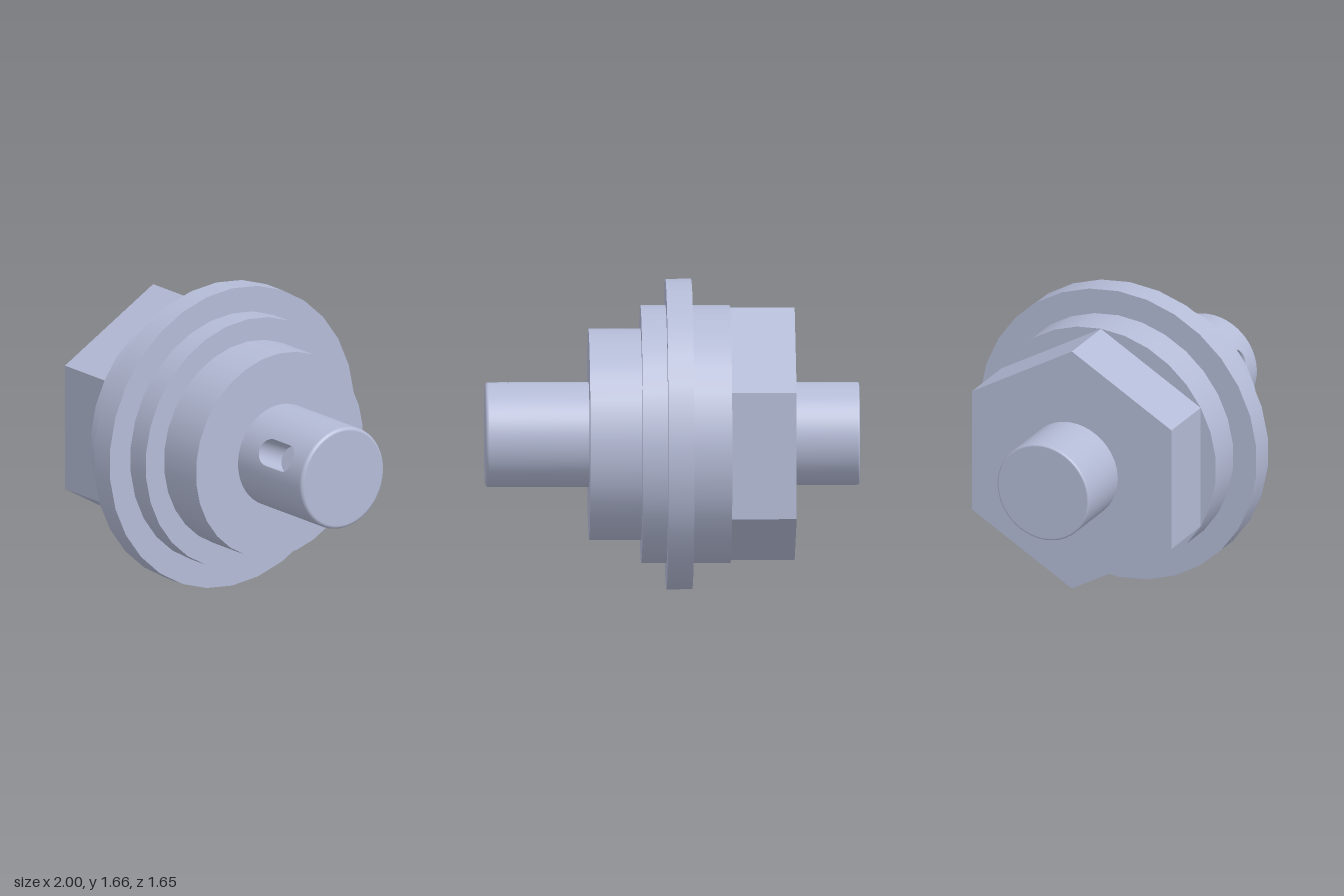
import * as THREE from 'three';

const AXIS_Y = 0.83;
const steel = new THREE.MeshStandardMaterial({ color: 0xb4bbd6 });
steel.name = 'blue grey steel';

function mesh(name, geometry) {
  const m = new THREE.Mesh(geometry, steel);
  m.name = name;
  return m;
}

// Surface over a grid of points; u cross v points outward
function gridSurface(nu, nv, point) {
  const pos = [], idx = [];
  for (let i = 0; i <= nu; i++) for (let j = 0; j <= nv; j++) pos.push(...point(i, j));
  for (let i = 0; i < nu; i++) for (let j = 0; j < nv; j++) {
    const a = i * (nv + 1) + j, b = a + nv + 1;
    idx.push(a, b, a + 1, b, b + 1, a + 1);
  }
  const g = new THREE.BufferGeometry();
  g.setAttribute('position', new THREE.Float32BufferAttribute(pos, 3));
  g.setIndex(idx);
  g.computeVertexNormals();
  return g;
}

// Prism or disc lying along x, with a corner straight up
function disc(name, x0, x1, radius, sides, flat = false) {
  let g = new THREE.CylinderGeometry(radius, radius, x1 - x0, sides, 1, false, Math.PI / 2);
  g.rotateZ(-Math.PI / 2).translate((x0 + x1) / 2, 0, 0);
  if (flat) {
    g = g.toNonIndexed();
    g.computeVertexNormals();
  }
  return mesh(name, g);
}

// Shaft along +x with a rounded end and an optional keyway facing local +z
function shaft(name, x0, x1, R, fillet, slot) {
  const group = new THREE.Group();
  group.name = name;
  const N = 48;
  // Each station: x, radius, half angle of the keyway opening, normal tilt
  const stations = [[x0, R, 0, 0]];
  if (slot) {
    const { cx, half, hw } = slot;
    for (const side of [-1, 1]) for (let k = 0; k <= 10; k++) {
      const a = (side < 0 ? 10 - k : k) / 10 * Math.PI / 2;
      const v = Math.max(0, hw * Math.cos(a));
      stations.push([cx + side * (half + hw * Math.sin(a)), R, Math.asin(v / R), 0]);
    }
  }
  for (let k = 0; k <= 5; k++) {
    const a = k / 5 * Math.PI / 2;
    stations.push([x1 - fillet + fillet * Math.sin(a), R - fillet + fillet * Math.cos(a), 0, a]);
  }
  const normals = [];
  const skin = gridSurface(stations.length - 1, N, (i, j) => {
    const [x, r, h, tilt] = stations[i];
    const t = h + (j / N) * 2 * (Math.PI - h);
    normals.push(Math.sin(tilt), Math.cos(tilt) * Math.sin(t), Math.cos(tilt) * Math.cos(t));
    return [x, r * Math.sin(t), r * Math.cos(t)];
  });
  skin.setAttribute('normal', new THREE.Float32BufferAttribute(normals, 3));
  group.add(mesh(name + 'Surface', skin));

  const cap = new THREE.CircleGeometry(R - fillet, N);
  cap.rotateY(Math.PI / 2).translate(x1, 0, 0);
  group.add(mesh(name + 'EndFace', cap));

  if (slot) {
    // Keyway walls and floor follow one rounded outline
    const { cx, half, hw, floor } = slot;
    const outline = [];
    for (const side of [1, -1]) for (let k = 0; k <= 20; k++) {
      const a = -Math.PI / 2 + k / 20 * Math.PI;
      outline.push(new THREE.Vector2(cx + side * (half + hw * Math.cos(a)), side * hw * Math.sin(a)));
    }
    group.add(mesh('keywayWall', gridSurface(outline.length, 1, (i, j) => {
      const p = outline[i % outline.length];
      return [p.x, p.y, j ? floor : Math.sqrt(R * R - p.y * p.y)];
    })));
    const bottom = new THREE.ShapeGeometry(new THREE.Shape(outline));
    bottom.translate(0, 0, floor);
    group.add(mesh('keywayFloor', bottom));
  }
  return group;
}

export function createModel() {
  const model = new THREE.Group();
  model.name = 'shaftFitting';
  const parts = new THREE.Group();
  parts.name = 'turnedParts';
  parts.position.y = AXIS_Y;
  model.add(parts);

  // Hexagon head and stepped round body
  parts.add(
    disc('hexHead', -0.655, -0.31, 0.688, 6, true),
    disc('body', -0.31, 0.167, 0.689, 30),
    disc('flange', -0.105, 0.033, 0.829, 30),
    disc('collar', 0.167, 0.445, 0.565, 30)
  );

  // Output shaft, its keyway turned up from the front
  const output = shaft('outputShaft', 0.445, 1, 0.28, 0.02,
    { cx: 0.743, half: 0.068, hw: 0.074, floor: 0.11 });
  output.rotation.x = -0.43;
  parts.add(output);

  // Plain shaft on the other end
  const input = shaft('inputShaft', 0.655, 1, 0.275, 0.012);
  input.rotation.y = Math.PI;
  parts.add(input);

  return model;
}
